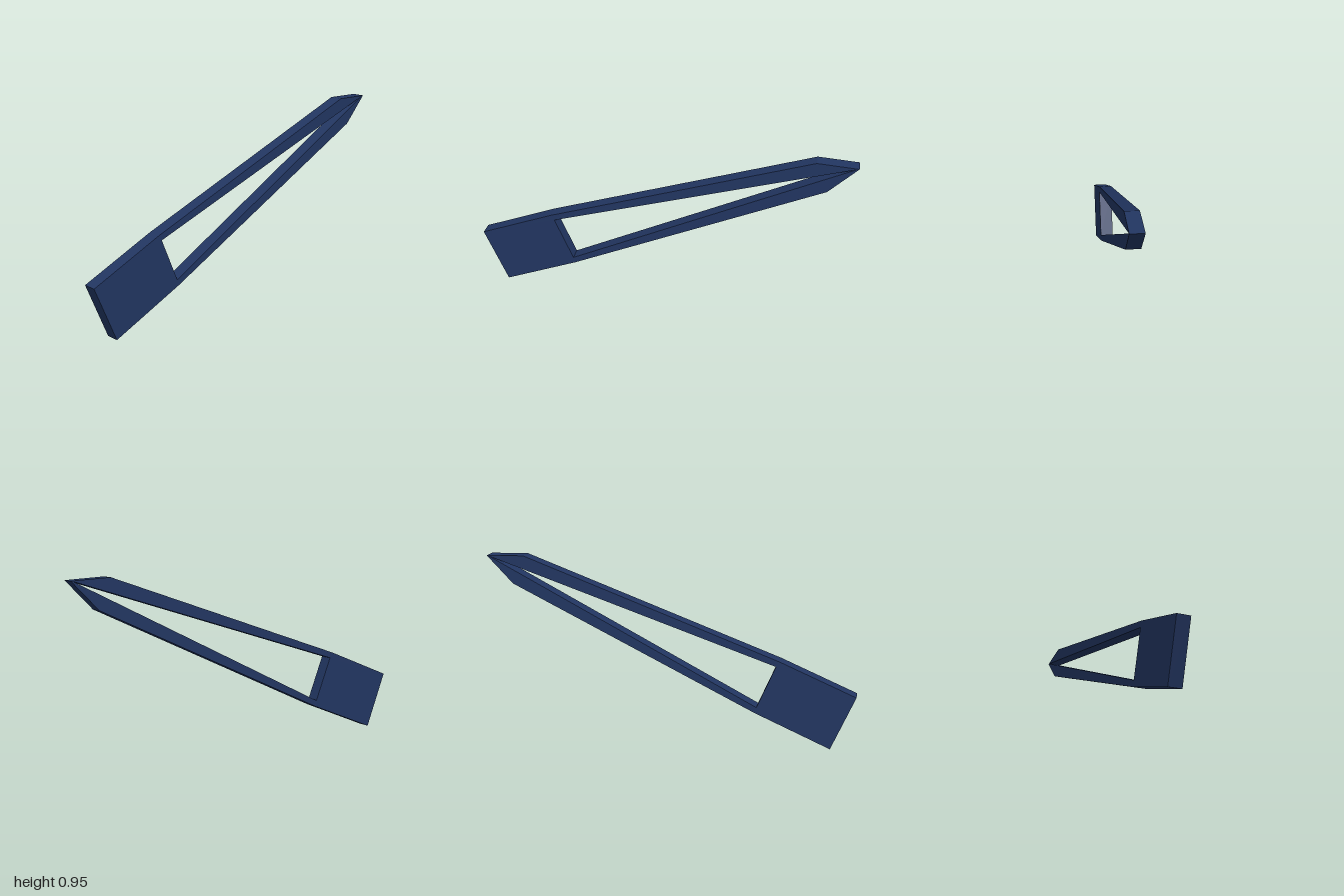
import * as THREE from 'three';

const DEPTH = 0.07;
const points = (list) => list.map(([x, y]) => new THREE.Vector2(x, y));

export function createModel() {
  const group = new THREE.Group();
  group.name = 'tweezers';

  const navy = new THREE.MeshStandardMaterial({ color: 0x223662 });
  navy.name = 'navy';

  // Outer silhouette: square grip at lower left, two arms meeting at the tip
  const outline = new THREE.Shape(points([
    [-0.88, 0], [-0.475, 0.168], [0.857, 0.797], [1, 0.944],
    [0.793, 0.953], [-0.597, 0.465], [-1, 0.301],
  ]));

  // Long wedge-shaped gap between the arms
  outline.holes.push(new THREE.Path(points([
    [-0.58, 0.436], [0.99, 0.942], [-0.484, 0.2],
  ])));

  const geometry = new THREE.ExtrudeGeometry(outline, { depth: DEPTH, bevelEnabled: false });
  geometry.translate(0, 0, -DEPTH / 2);

  const body = new THREE.Mesh(geometry, navy);
  body.name = 'gripAndArms';
  group.add(body);
  return group;
}
